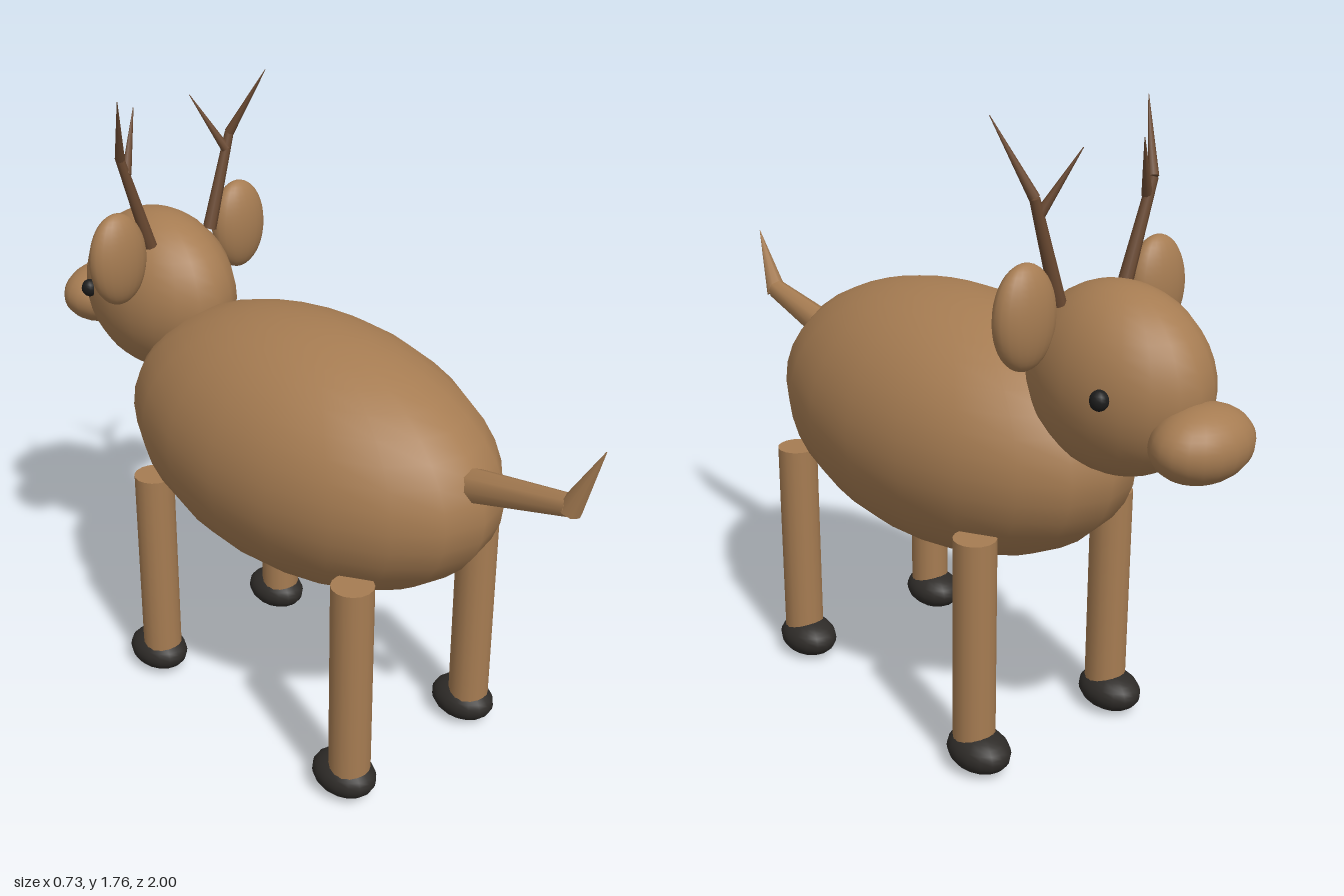
import * as THREE from 'three';

const material = (color) => new THREE.MeshStandardMaterial({ color });

export function createModel() {
  const model = new THREE.Group();
  const fur = material(0xa67c52);
  const horn = material(0x6b4a32);
  const hoofDark = material(0x2e2b28);
  const eyeDark = material(0x1c1c1c);

  // Ellipsoid from centre and radii
  function ellipsoid(name, mat, centre, radii, w = 20, h = 20) {
    const mesh = new THREE.Mesh(new THREE.SphereGeometry(1, w, h), mat);
    mesh.name = name;
    mesh.scale.set(...radii);
    mesh.position.set(...centre);
    model.add(mesh);
  }

  // Tapered rod between two points
  function rod(name, mat, from, to, r0, r1, sides) {
    const a = new THREE.Vector3(...from);
    const b = new THREE.Vector3(...to);
    const dir = b.clone().sub(a);
    const mesh = new THREE.Mesh(new THREE.CylinderGeometry(r1, r0, dir.length(), sides), mat);
    mesh.name = name;
    mesh.position.copy(a).add(b).multiplyScalar(0.5);
    mesh.quaternion.setFromUnitVectors(new THREE.Vector3(0, 1, 0), dir.normalize());
    model.add(mesh);
  }

  // Body, head and snout (the animal looks towards -z)
  ellipsoid('body', fur, [0, 0.855, 0.025], [0.365, 0.365, 0.64]);
  ellipsoid('head', fur, [0, 1.128, -0.618], [0.192, 0.243, 0.267]);
  ellipsoid('snout', fur, [0, 1.04, -0.893], [0.145, 0.095, 0.107]);

  for (const [side, s] of [['left', 1], ['right', -1]]) {
    // Ears and eyes
    ellipsoid(side + 'Ear', fur, [s * 0.223, 1.298, -0.518], [0.092, 0.133, 0.053]);
    ellipsoid(side + 'Eye', eyeDark, [s * 0.178, 1.14, -0.73], [0.024, 0.026, 0.024], 12, 10);

    // Antlers: beam with an outer and an inner tine
    const fork = [s * 0.197, 1.58, -0.518];
    rod(side + 'AntlerBeam', horn, [s * 0.11, 1.31, -0.515], fork, 0.02, 0.013, 8);
    rod(side + 'AntlerOuterTine', horn, fork, [s * 0.26, 1.765, -0.43], 0.014, 0.001, 8);
    rod(side + 'AntlerInnerTine', horn, [s * 0.18, 1.535, -0.515], [s * 0.1, 1.695, -0.575], 0.014, 0.001, 8);

    // Legs and hooves
    for (const [end, z] of [['Back', 0.445], ['Front', -0.37]]) {
      rod(side + end + 'Leg', fur, [s * 0.247, 0.06, z], [s * 0.247, 0.68, z], 0.058, 0.058, 16);
      ellipsoid(side + end + 'Hoof', hoofDark, [s * 0.247, 0.062, z - 0.02], [0.077, 0.057, 0.1], 16, 14);
    }
  }

  // Tail: stem and upturned tip
  rod('tailStem', fur, [0, 0.948, 0.615], [0, 1.015, 0.915], 0.047, 0.03, 8);
  rod('tailTip', fur, [0, 1.005, 0.915], [0, 1.19, 1.0], 0.032, 0.001, 8);

  return model;
}
